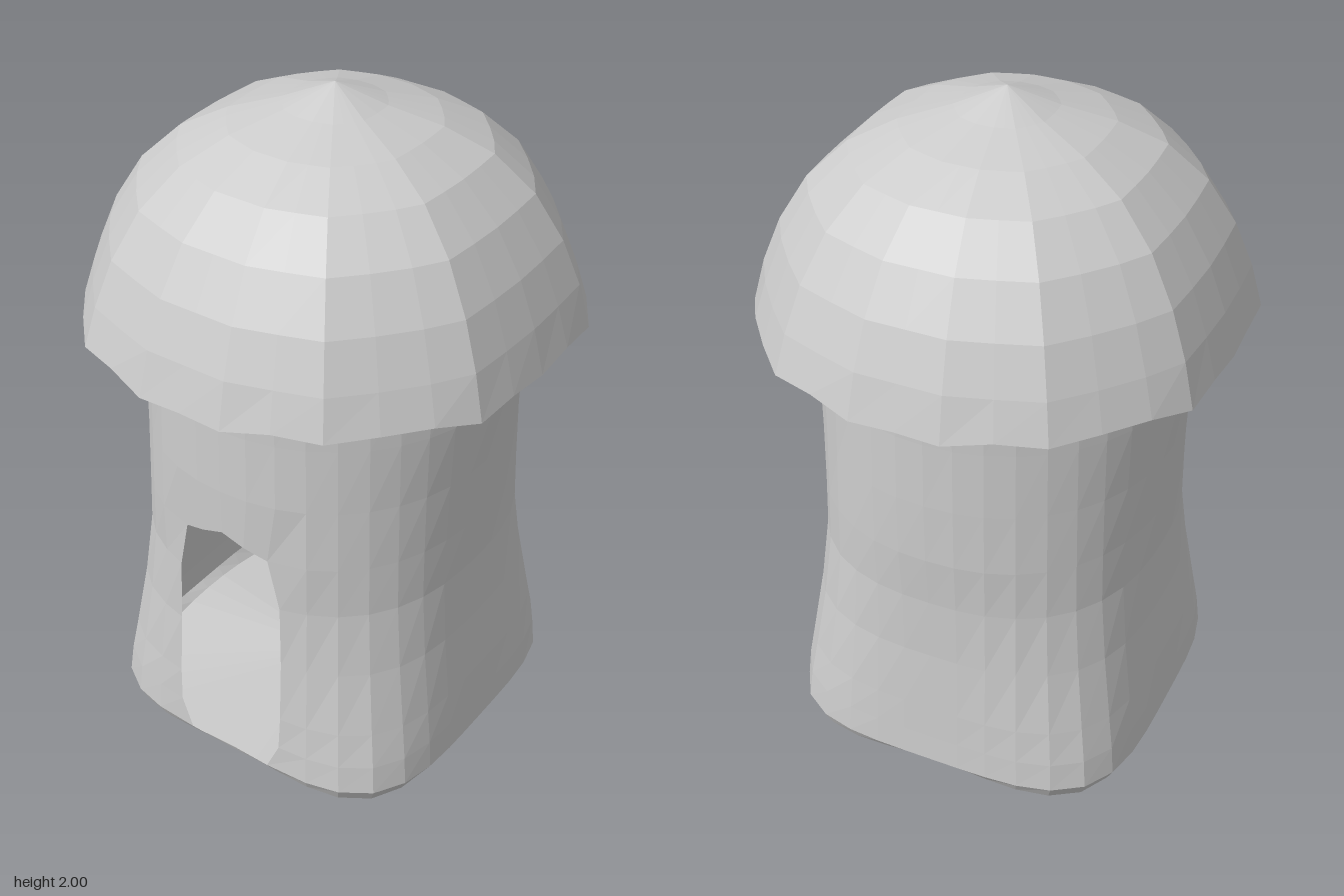
import * as THREE from 'three';

const grey = new THREE.MeshStandardMaterial({ color: 0xcccccc, flatShading: true, side: THREE.DoubleSide });

// Joins closed rings of points (ordered bottom to top); skip(row, column) leaves an opening.
function loft(name, rings, skip = () => false) {
  const n = rings[0].length;
  const index = [];
  for (let r = 0; r < rings.length - 1; r++) {
    for (let c = 0; c < n; c++) {
      if (skip(r, c)) continue;
      const a = r * n + c, b = r * n + (c + 1) % n;
      index.push(a, b, b + n, a, b + n, a + n);
    }
  }
  const g = new THREE.BufferGeometry();
  g.setAttribute('position', new THREE.Float32BufferAttribute(rings.flat(2), 3));
  g.setIndex(index);
  const flat = g.toNonIndexed();
  flat.computeVertexNormals();
  const mesh = new THREE.Mesh(flat, grey);
  mesh.name = name;
  return mesh;
}

// Stem rows: height, half width, half depth, squareness of the outline
const COLS = 40;
const STEM = [
  [0.00, 0.52, 0.53, 4.0],
  [0.05, 0.545, 0.55, 4.0],
  [0.14, 0.54, 0.545, 3.8],
  [0.25, 0.53, 0.54, 3.4],
  [0.45, 0.51, 0.53, 2.9],
  [0.65, 0.50, 0.53, 2.5],
  [0.81, 0.505, 0.54, 2.3],
  [1.00, 0.515, 0.54, 2.15],
  [1.20, 0.53, 0.535, 2.05],
  [1.36, 0.53, 0.535, 2.0],
  [1.68, 0.51, 0.52, 2.0],
];
// Half width of the doorway on the rows it spans
const DOOR = { 1: 0.14, 2: 0.18, 3: 0.183, 4: 0.18, 5: 0.175, 6: 0.14 };

function stemRing([y, w, d, n], row) {
  return Array.from({ length: COLS }, (_, c) => {
    const k = c > COLS / 2 ? c - COLS : c;          // column counted from the front centre
    const a = k / COLS * Math.PI * 2;
    const s = Math.sin(a), co = Math.cos(a);
    const r = (Math.abs(s / w) ** n + Math.abs(co / d) ** n) ** (-1 / n);
    let x = r * s, py = y;
    if (row === 0) py = 0.03 * Math.cos(2 * a) ** 2; // base edge arches between the corners
    if (DOOR[row] && Math.abs(k) <= 2) {
      x = k / 2 * DOOR[row];
      if (row === 6) py += 0.05 * (1 - Math.abs(k) / 2); // pointed door top
    }
    return [x, py, r * co];
  });
}

// Cap rim outline for one quarter, front centre to side: x, y, z
const RIM = [
  [0, 1.345, 0.69], [0.13, 1.34, 0.69], [0.26, 1.36, 0.65], [0.39, 1.355, 0.605],
  [0.49, 1.36, 0.5], [0.58, 1.36, 0.39], [0.65, 1.34, 0.28], [0.66, 1.35, 0.14], [0.665, 1.34, 0],
];
// Cap profile above the rim: scale, height
const CAP = [[0.95, 1.47], [0.875, 1.6], [0.76, 1.73], [0.6, 1.835], [0.41, 1.9], [0.2, 1.945], [0, 2]];

function capRings() {
  const half = [...RIM, ...RIM.slice(0, -1).reverse().map(([x, y, z]) => [x, y, -z])];
  const rim = [...half, ...half.slice(1, -1).reverse().map(([x, y, z]) => [-x, y, z])];
  return [rim, ...CAP.map(([s, y]) => rim.map(([x, , z]) => [x * s, y, z * s]))];
}

export function createModel() {
  const model = new THREE.Group();
  model.name = 'mushroomHouse';

  // Hollow stem with the doorway left open at the front
  const rings = STEM.map(stemRing);
  const inDoor = (r, c) => r >= 1 && r < 6 && (c < 2 || c >= COLS - 2);
  model.add(loft('stem', rings, inDoor));

  // Floor closing the base
  model.add(loft('floor', [rings[0].map(() => [0, 0.03, 0]), rings[0]]));

  // Domed cap, open underneath
  model.add(loft('cap', capRings()));

  return model;
}
